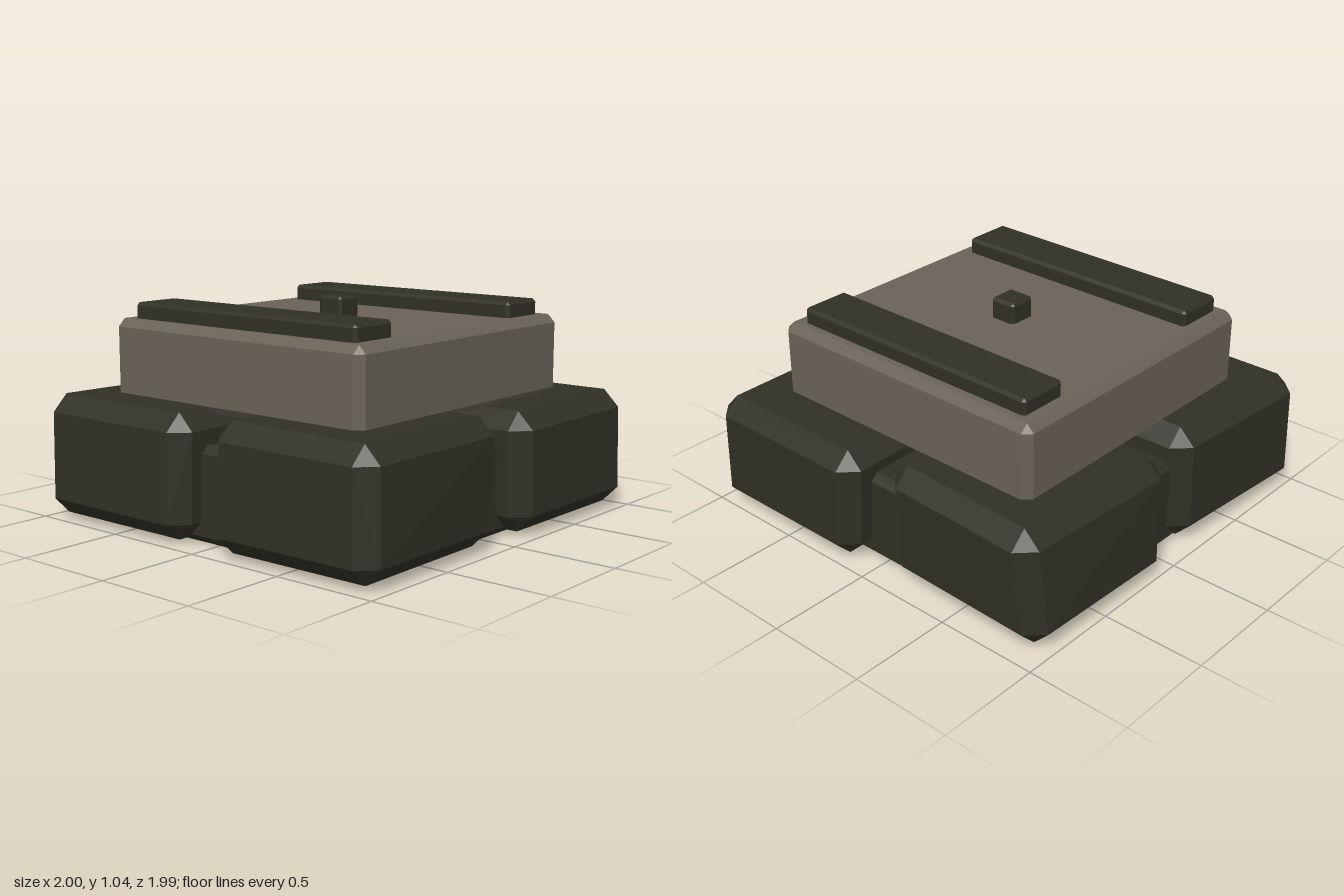
import * as THREE from 'three';
import { ConvexGeometry } from 'three/addons/geometries/ConvexGeometry.js';

const darkStone = new THREE.MeshStandardMaterial({ color: 0x303025 });
darkStone.name = 'dark stone';
const paleStone = new THREE.MeshStandardMaterial({ color: 0x6a6257 });
paleStone.name = 'pale stone';

// Chamfered hull: plan corners [x, z] run back-right, back-left, front-left, front-right (-x-z, +x-z, +x+z, -x+z)
const SIGNS = [[-1, -1], [1, -1], [1, 1], [-1, 1]];
function chamfered(name, material, bottom, top, y0, y1, c) {
  const points = [];
  [[bottom, y0, -1], [top, y1, 1]].forEach(([plan, y, sy]) => {
    plan.forEach(([x, z], i) => {
      const [sx, sz] = SIGNS[i];
      points.push(
        new THREE.Vector3(x, y - sy * c, z - sz * c),
        new THREE.Vector3(x - sx * c, y - sy * c, z),
        new THREE.Vector3(x - sx * c, y, z - sz * c));
    });
  });
  const mesh = new THREE.Mesh(new ConvexGeometry(points), material);
  mesh.name = name;
  return mesh;
}

function box(name, material, x0, x1, y0, y1, z0, z1, c) {
  const plan = [[x0, z0], [x1, z0], [x1, z1], [x0, z1]];
  return chamfered(name, material, plan, plan, y0, y1, c);
}

export function createModel() {
  const group = new THREE.Group();
  group.name = 'stonePedestal';

  // Core plinth, upper slab and the raised details on it
  group.add(
    box('plinth', darkStone, -0.86, 0.855, 0, 0.445, -0.87, 0.845, 0.035),
    box('upperSlab', paleStone, -0.75, 0.745, 0.56, 0.945, -0.76, 0.735, 0.037),
    box('rightRail', darkStone, -0.685, -0.435, 0.9, 1.02, -0.68, 0.655, 0.015),
    box('leftRail', darkStone, 0.43, 0.675, 0.9, 1.02, -0.68, 0.655, 0.015),
    box('centreStud', darkStone, -0.073, 0.065, 0.9, 1.045, -0.08, 0.055, 0.013));

  // Four rough corner blocks, each slightly skewed
  const blocks = [
    ['backRightBlock',
      [[-1, -1], [-0.11, -0.95], [-0.12, -0.1], [-1, -0.08]],
      [[-1, -0.99], [-0.11, -0.94], [-0.1, -0.09], [-1, -0.065]], 0.595],
    ['backLeftBlock',
      [[0.06, -1], [0.94, -0.98], [0.92, -0.1], [0.08, -0.1]],
      [[0.05, -0.99], [0.97, -0.95], [0.94, -0.1], [0.08, -0.1]], 0.595],
    ['frontLeftBlock',
      [[0.07, 0.1], [1, 0.08], [1, 0.985], [0.08, 0.985]],
      [[0.07, 0.08], [1, 0.055], [1, 0.975], [0.07, 0.985]], 0.575],
    ['frontRightBlock',
      [[-1, 0.09], [-0.1, 0.09], [-0.09, 0.97], [-0.995, 0.98]],
      [[-0.985, 0.08], [-0.09, 0.08], [-0.06, 0.975], [-0.995, 0.975]], 0.595],
  ];
  for (const [name, bottom, top, height] of blocks) {
    group.add(chamfered(name, darkStone, bottom, top, 0.02, height, 0.08));
  }
  return group;
}
